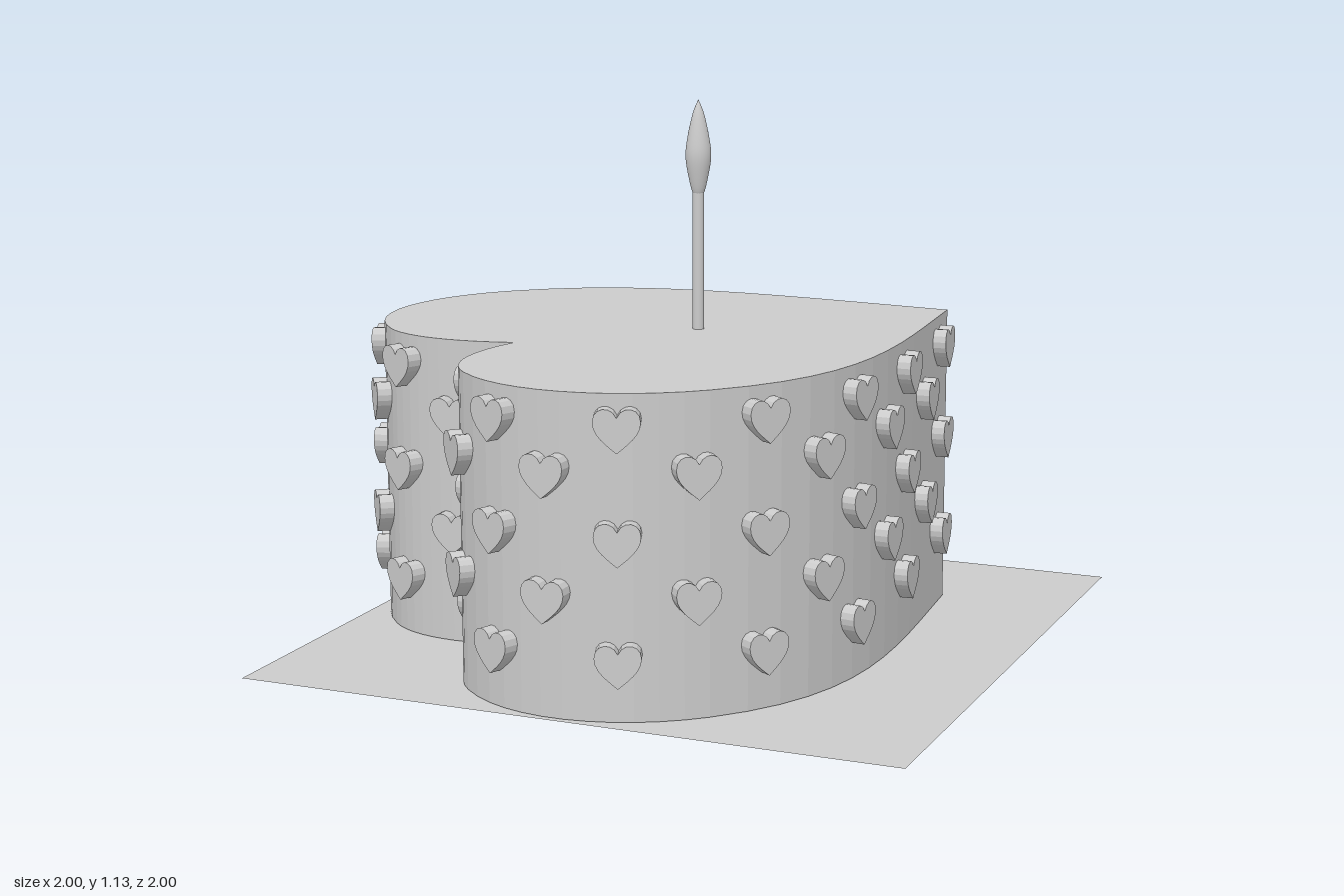
import * as THREE from 'three';

const grey = () => new THREE.MeshStandardMaterial({ color: 0xcccccc });

function add(parent, name, geometry, material = grey()) {
  const mesh = new THREE.Mesh(geometry, material);
  mesh.name = name;
  parent.add(mesh);
  return mesh;
}

// Cake outline: notch at -x, tip at +x, mirrored across the x axis
function cakeOutline() {
  const s = new THREE.Shape();
  s.moveTo(0.59, 0);
  s.bezierCurveTo(0.3, 0.34, 0.12, 0.595, -0.22, 0.595);
  s.bezierCurveTo(-0.43, 0.595, -0.6, 0.45, -0.6, 0.25);
  s.bezierCurveTo(-0.6, 0.14, -0.51, 0.05, -0.41, 0);
  s.bezierCurveTo(-0.51, -0.05, -0.6, -0.14, -0.6, -0.25);
  s.bezierCurveTo(-0.6, -0.45, -0.43, -0.595, -0.22, -0.595);
  s.bezierCurveTo(0.12, -0.595, 0.3, -0.34, 0.59, 0);
  return s;
}

// Small upright heart used for the decorations
function heartGeometry() {
  const s = new THREE.Shape();
  s.moveTo(0, -0.043);
  s.bezierCurveTo(0.02, -0.026, 0.046, -0.008, 0.046, 0.018);
  s.bezierCurveTo(0.046, 0.048, 0.01, 0.052, 0, 0.026);
  s.bezierCurveTo(-0.01, 0.052, -0.046, 0.048, -0.046, 0.018);
  s.bezierCurveTo(-0.046, -0.008, -0.02, -0.026, 0, -0.043);
  const g = new THREE.ExtrudeGeometry(s, { depth: 0.036, bevelEnabled: false, curveSegments: 6 });
  return g.translate(0, 0, -0.008);
}

// Decoration columns: x, z, row set, rise of the lower rows
const ROWS = { A: [0.582, 0.36, 0.12], B: [0.487, 0.24] };
const COLUMNS = [
  [0.535, 0.08, 'A', 0.045], [0.45, 0.18, 'B', 0.04], [0.35, 0.3, 'A', 0.025],
  [0.255, 0.39, 'B', 0.025], [0.145, 0.48, 'A', 0], [0.04, 0.54, 'B', 0],
  [-0.1, 0.59, 'A', 0], [-0.25, 0.6, 'B', 0], [-0.4, 0.57, 'A', 0],
  [-0.52, 0.49, 'B', 0], [-0.59, 0.39, 'A', 0], [-0.61, 0.25, 'B', 0], [-0.52, 0.07, 'A', 0],
  [0.52, -0.1, 'B', -0.03], [0.42, -0.22, 'A', 0], [0.32, -0.33, 'B', 0.03],
  [0.21, -0.435, 'A', 0.015], [0.08, -0.53, 'B', 0.02], [-0.05, -0.58, 'A', 0],
  [-0.21, -0.6, 'B', 0], [-0.36, -0.59, 'A', 0], [-0.49, -0.52, 'B', 0],
  [-0.57, -0.42, 'A', 0], [-0.6, -0.3, 'B', 0], [-0.59, -0.18, 'A', 0], [-0.52, -0.07, 'B', 0],
];

export function createModel() {
  const model = new THREE.Group();
  model.name = 'heartCake';

  // Thin square board, turned to a diamond
  const board = new THREE.PlaneGeometry(Math.SQRT2, Math.SQRT2).rotateZ(Math.PI / 4).rotateX(-Math.PI / 2);
  const boardMaterial = grey();
  boardMaterial.side = THREE.DoubleSide;
  add(model, 'board', board, boardMaterial);

  // Cake body
  const outline = cakeOutline();
  const cake = new THREE.ExtrudeGeometry(outline, { depth: 0.648, bevelEnabled: false, curveSegments: 12 });
  cake.rotateX(-Math.PI / 2).translate(0, 0.002, 0);
  add(model, 'cake', cake);

  // Hearts set against the side, facing along its normal
  const hearts = new THREE.Group();
  hearts.name = 'heartDecorations';
  model.add(hearts);
  const heart = heartGeometry();
  const material = grey();
  const rim = outline.getPoints(60);
  for (const [x, z, set, rise] of COLUMNS) {
    const target = new THREE.Vector2(x, z);
    let best = 1;
    for (let i = 1; i < rim.length - 1; i++) {
      if (rim[i].distanceTo(target) < rim[best].distanceTo(target)) best = i;
    }
    const p = rim[best];
    const t = rim[best + 1].clone().sub(rim[best - 1]);
    const normal = new THREE.Vector2(t.y, -t.x);
    const inside = new THREE.Vector2(-0.1, Math.sign(z) * 0.2);
    if (normal.dot(p.clone().sub(inside)) < 0) normal.negate();
    for (const y of ROWS[set]) {
      const mesh = add(hearts, 'heartDecoration', heart, material);
      mesh.position.set(p.x, y + rise * (0.6 - y) / 0.48, p.y);
      mesh.rotation.y = Math.atan2(normal.x, normal.y);
    }
  }

  // Candle and flame
  const candle = new THREE.CylinderGeometry(0.012, 0.012, 0.3, 20).translate(0, 0.79, 0);
  add(model, 'candle', candle);
  const profile = new THREE.SplineCurve([
    [0, 0.93], [0.011, 0.937], [0.02, 0.97], [0.027, 1.015],
    [0.023, 1.055], [0.012, 1.105], [0, 1.135],
  ].map(([r, y]) => new THREE.Vector2(r, y))).getPoints(24);
  profile.forEach((p) => { p.x = Math.max(p.x, 0); });
  add(model, 'flame', new THREE.LatheGeometry(profile, 24));

  return model;
}
